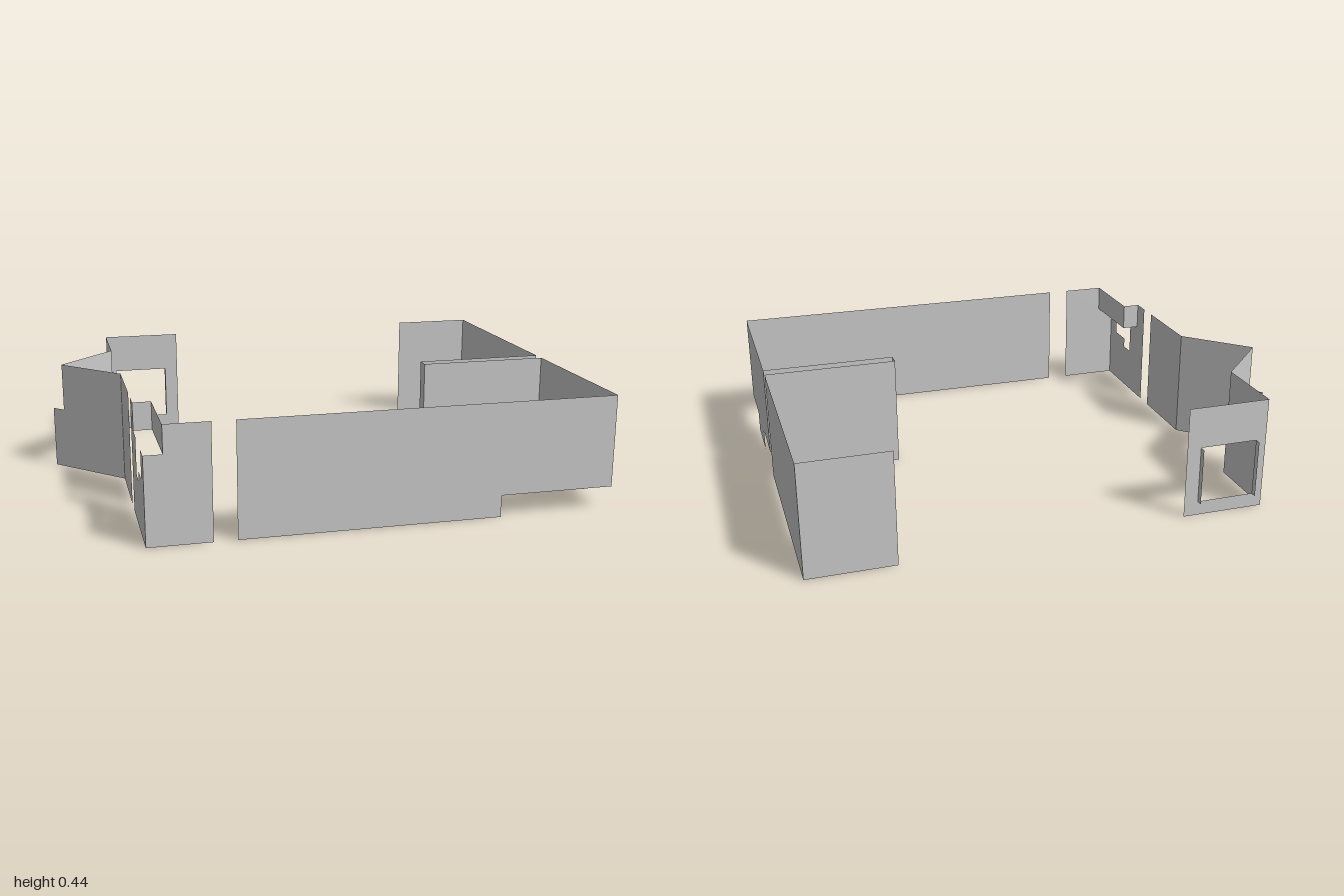
import * as THREE from 'three';

const H = 0.435;      // wall height
const LOW = 0.083;    // raised bottom edge
const DOOR = 0.245;   // door head height

export function createModel() {
  const model = new THREE.Group();
  const material = new THREE.MeshStandardMaterial({ color: 0xcccccc, side: THREE.DoubleSide, flatShading: true });

  const toPoints = (list) => list.map(([u, v]) => new THREE.Vector2(u, v));
  const rect = (u0, u1, v0 = 0, v1 = H) => [[u0, v0], [u1, v0], [u1, v1], [u0, v1]];

  // Upright sheet: outline is (distance along dir, height), starting from origin (x, z).
  function panel(name, [x, z], [dx, dz], outline, hole) {
    const shape = new THREE.Shape(toPoints(outline));
    if (hole) shape.holes.push(new THREE.Path(toPoints(hole)));
    const mesh = new THREE.Mesh(new THREE.ShapeGeometry(shape), material);
    mesh.name = name;
    mesh.position.set(x, 0, z);
    mesh.rotation.y = Math.atan2(-dz, dx);
    model.add(mesh);
  }
  // Sheets where the outline uses the x or z coordinate directly
  const alongX = (name, z, outline, hole) => panel(name, [0, z], [1, 0], outline, hole);
  const alongZ = (name, x, outline, hole) => panel(name, [x, 0], [0, 1], outline, hole);
  // Sheet between two plan points
  const between = (name, a, b, v0, v1) => {
    const d = [b[0] - a[0], b[1] - a[1]];
    panel(name, a, d, rect(0, Math.hypot(...d), v0, v1));
  };

  // Long front wall, raised at its left end
  alongX('frontWall', 0.775, [[-0.42, 0], [0.56, 0], [0.56, LOW], [1, LOW], [1, H], [-0.42, H]]);

  // Side wall at +x, in two lengths either side of the partition
  alongZ('leftWallFront', 1, [
    [0.12, LOW], [0.345, LOW], [0.345, 0], [0.56, 0], [0.56, LOW], [0.775, LOW], [0.775, H], [0.12, H],
  ]);
  alongZ('leftWallBack', 1, rect(-0.775, 0.07));
  alongX('backWallReturn', -0.775, rect(0.672, 1));

  // Partition: two faces and an end cap
  alongX('partitionFront', 0.12, [[0.485, 0], [0.56, 0], [0.56, LOW], [1, LOW], [1, H], [0.485, H]]);
  alongX('partitionBack', 0.07, rect(0.485, 1));
  alongZ('partitionEnd', 0.485, rect(0.07, 0.12));

  // Back wall with window opening and its reveals
  alongX('windowWall', -0.75, rect(-0.74, -0.42), rect(-0.70, -0.475, 0.055, 0.275));
  for (const x of [-0.70, -0.475]) alongZ('windowReveal', x, rect(-0.775, -0.75, 0.055, 0.275));
  alongZ('backSideWall', -0.74, rect(-0.75, -0.45));

  // Angled bay with a doorway running up to its outer corner
  const inner = [-0.74, -0.45], jamb = [-0.808, -0.38], corner = [-0.96, -0.22], end = [-0.74, 0];
  between('bayDoorPost', inner, jamb, 0, H);
  between('bayDoorHead', jamb, corner, DOOR, H);
  between('bayWall', corner, end, 0, H);
  for (const p of [jamb, corner]) between('doorReveal', p, [p[0] - 0.04, p[1] - 0.04], 0, DOOR);
  alongZ('middleSideWall', -0.74, rect(0, 0.315));

  // Front corner piece with a stepped recess in its upper edge
  const SHELF = 0.33;
  alongX('cornerFront', 0.775, [
    [-0.74, 0], [-0.505, 0], [-0.505, H], [-0.672, H], [-0.672, SHELF], [-0.74, SHELF],
  ]);
  alongZ('cornerSide', -0.74, [
    [0.39, 0], [0.775, 0], [0.775, SHELF], [0.705, SHELF], [0.705, 0.225], [0.605, 0.225],
    [0.605, 0.185], [0.54, 0.185], [0.54, SHELF], [0.463, SHELF], [0.463, H], [0.39, H],
  ]);
  alongZ('recessBack', -0.672, rect(0.463, 0.775, SHELF, H));
  alongX('recessEnd', 0.463, rect(-0.74, -0.672, SHELF, H));

  return model;
}
